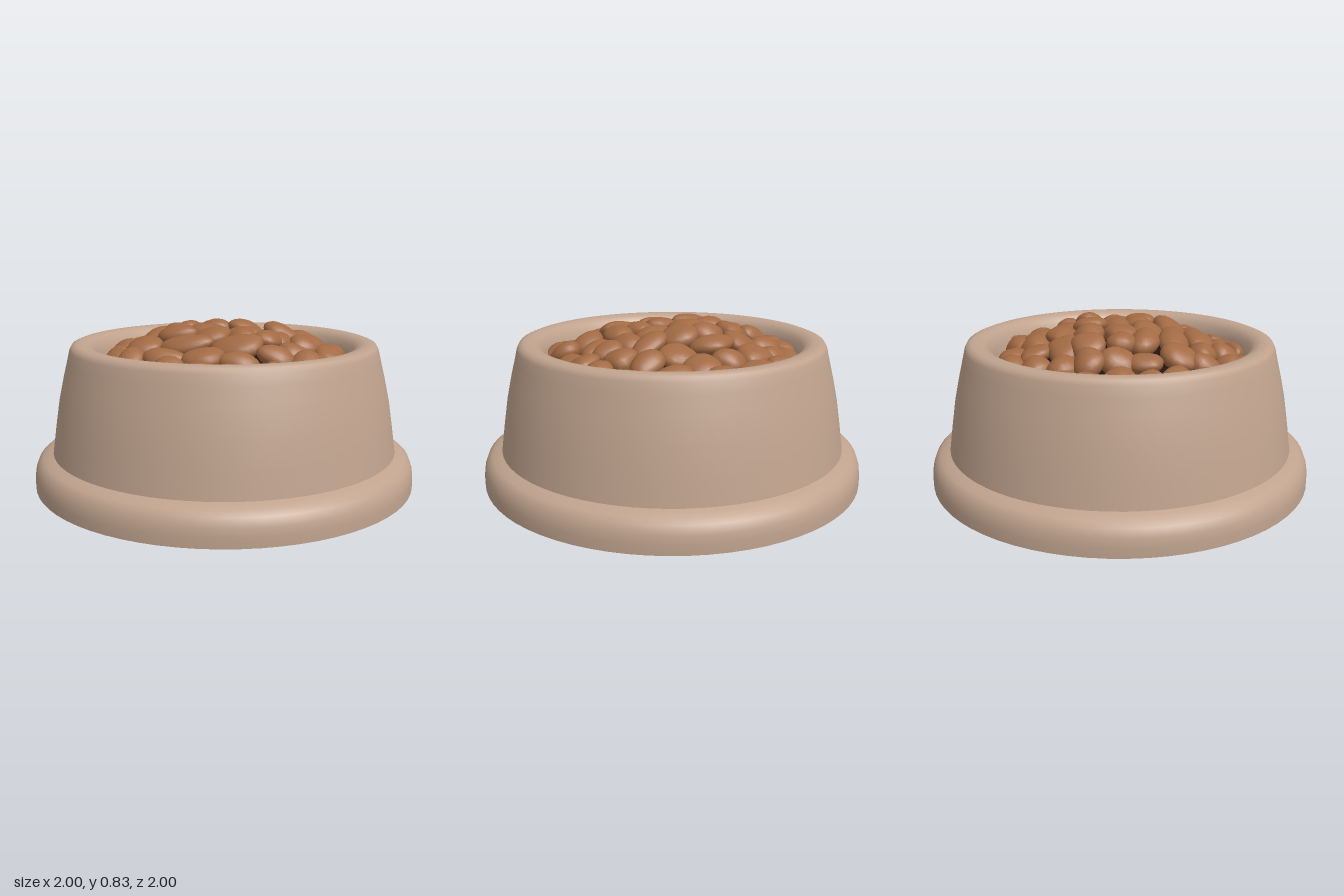
import * as THREE from 'three';

function material(name, color) {
  const mat = new THREE.MeshStandardMaterial({ color });
  mat.name = name;
  return mat;
}
const bowlMat = material('beige bowl', 0xc0a38e);
const undersideMat = material('dark taupe underside', 0x5d4d42);
const kibbleMat = material('brown kibble', 0xa26a44);
const gapMat = material('blackish brown filling', 0x22120a);

// Small seeded random generator, returns -1..1
let seed = 7;
function rand() {
  seed = (seed * 16807) % 2147483647;
  return (seed / 2147483647) * 2 - 1;
}

function lathe(points, mat, name) {
  const geo = new THREE.LatheGeometry(points.map(([r, y]) => new THREE.Vector2(r, y)), 72);
  const mesh = new THREE.Mesh(geo, mat);
  mesh.name = name;
  return mesh;
}

// Height of the heaped food at a distance from the centre
const heapTop = (r) => 0.82 - 0.38 * r * r;

// Unit pebble with gentle lumps and a slight bend; the seam stays closed
function pebbleGeometry(phase) {
  const geo = new THREE.SphereGeometry(1, 18, 12);
  const pos = geo.attributes.position;
  const nor = geo.attributes.normal;
  const v = new THREE.Vector3();
  const lump = (p) => {
    const s = 1 + 0.06 * Math.sin(3 * p.x + phase) + 0.06 * Math.sin(3.5 * p.z + 2 * phase);
    return new THREE.Vector3(p.x * s, p.y * s, p.z * s + 0.2 * Math.sin(phase) * (p.x * p.x - 0.4));
  };
  const t1 = new THREE.Vector3(), t2 = new THREE.Vector3();
  for (let i = 0; i < pos.count; i++) {
    v.fromBufferAttribute(pos, i).normalize();
    // Normal from two nearby points on the lumpy surface
    t1.set(Math.abs(v.y) < 0.9 ? 0 : 1, Math.abs(v.y) < 0.9 ? 1 : 0, 0).cross(v).normalize();
    t2.crossVectors(v, t1);
    const p = lump(v);
    const a = lump(v.clone().addScaledVector(t1, 0.02).normalize()).sub(p);
    const b = lump(v.clone().addScaledVector(t2, 0.02).normalize()).sub(p);
    const n = a.cross(b).normalize();
    pos.setXYZ(i, p.x, p.y, p.z);
    nor.setXYZ(i, n.x, n.y, n.z);
  }
  return geo;
}

export function createModel() {
  seed = 7;
  const model = new THREE.Group();
  model.name = 'foodBowl';

  // Bowl: flared foot, tapering wall, rounded rim and hollow inside
  model.add(lathe([
    [1, 0], [1, 0.05], [0.995, 0.09], [0.98, 0.13], [0.955, 0.152], [0.92, 0.165], [0.903, 0.172],
  ], bowlMat, 'foot'));
  model.add(lathe([
    [0.905, 0.165], [0.885, 0.3], [0.862, 0.44], [0.835, 0.56], [0.812, 0.65], [0.8, 0.7],
    [0.788, 0.722], [0.765, 0.731], [0.73, 0.731], [0.7, 0.722], [0.675, 0.7], [0.655, 0.66],
    [0.635, 0.58], [0.62, 0.48], [0.6, 0.4], [0.55, 0.36], [0, 0.35],
  ], bowlMat, 'wallAndRim'));

  const underside = new THREE.Mesh(new THREE.CircleGeometry(1, 72), undersideMat);
  underside.rotation.x = Math.PI / 2;
  underside.name = 'underside';
  model.add(underside);

  // Dark filling seen between the pieces
  const mound = [];
  for (let i = 0; i <= 8; i++) {
    const r = 0.63 * (1 - i / 8);
    mound.push([r, heapTop(r) - 0.095]);
  }
  model.add(lathe(mound, gapMat, 'filling'));

  // Kibble rows from back to front: z, half depth, x positions
  const rows = [
    [-0.555, 0.078, [-0.36, -0.24, -0.07, 0.15, 0.3]],
    [-0.43, 0.085, [-0.44, -0.32, -0.18, -0.01, 0.17, 0.36]],
    [-0.29, 0.088, [-0.52, -0.39, -0.22, -0.02, 0.2, 0.38, 0.51]],
    [-0.155, 0.086, [-0.56, -0.42, -0.27, -0.1, 0.08, 0.28, 0.43, 0.55]],
    [-0.01, 0.086, [-0.56, -0.4, -0.24, -0.09, 0.12, 0.29, 0.42, 0.55]],
    [0.12, 0.082, [-0.55, -0.4, -0.22, -0.03, 0.12, 0.26, 0.4, 0.55]],
    [0.265, 0.086, [-0.51, -0.34, -0.12, 0.14, 0.34, 0.49]],
    [0.4, 0.08, [-0.46, -0.36, -0.18, 0.01, 0.19, 0.37, 0.46]],
    [0.525, 0.073, [-0.28, -0.12, 0.04, 0.19, 0.32]],
    [0.59, 0.045, [-0.15, 0, 0.16]],
  ];

  const shapes = [0.6, 2.1, 3.9, 5.2].map(pebbleGeometry);
  const kibble = new THREE.Group();
  kibble.name = 'kibble';
  const up = new THREE.Vector3(0, 1, 0);
  rows.forEach(([z, depth, xs]) => {
    xs.forEach((x, i) => {
      const left = i > 0 ? x - xs[i - 1] : xs[1] - x;
      const right = i < xs.length - 1 ? xs[i + 1] - x : left;
      const halfWidth = Math.min(0.135, Math.max(0.072, (left + right) * 0.29));
      const r = Math.hypot(x, z);
      const piece = new THREE.Mesh(shapes[(i + Math.round(Math.abs(z) * 30)) % 4], kibbleMat);
      const thick = 0.054 + 0.006 * rand();
      piece.scale.set(halfWidth, thick, depth);
      piece.position.set(x, heapTop(r) - thick + 0.018 * rand(), z + 0.012 * rand());
      // Lie along the slope of the heap, turned and tipped a little
      const slope = new THREE.Vector3(0.76 * x, 1, 0.76 * z).normalize();
      piece.quaternion.setFromUnitVectors(up, slope);
      piece.rotateY(0.25 * rand());
      piece.rotateX(0.28 * rand());
      piece.rotateZ(0.25 * rand());
      piece.name = 'kibblePiece';
      kibble.add(piece);
    });
  });
  model.add(kibble);
  return model;
}
